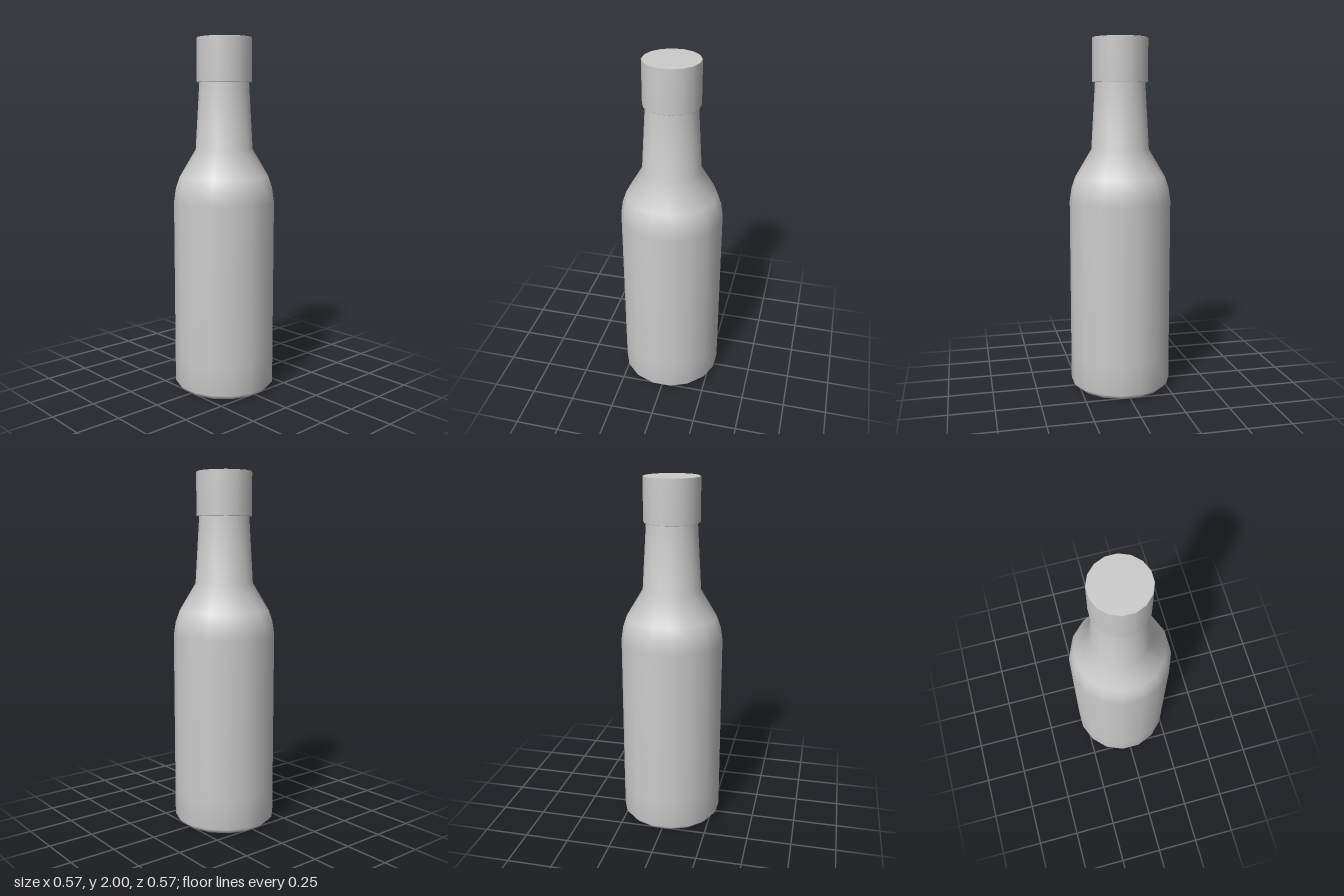
import * as THREE from 'three';

const SIDES = 16;
// Profiles give the distance to the flats; convert to the corner radius.
const TO_CORNER = 1 / Math.cos(Math.PI / SIDES);

// Revolve a bottom-to-top [radius, height] profile with flats facing the axes.
function turned(name, profile, material) {
  const points = profile.map(([r, y]) => new THREE.Vector2(r * TO_CORNER, y));
  const mesh = new THREE.Mesh(
    new THREE.LatheGeometry(points, SIDES, Math.PI / SIDES), material);
  mesh.name = name;
  return mesh;
}

export function createModel() {
  const group = new THREE.Group();
  group.name = 'bottle';
  const material = new THREE.MeshStandardMaterial({ color: 0xcccccc });

  // Base, straight wall, rounded shoulder and tapering neck
  group.add(turned('bottleBody', [
    [0, 0], [0.255, 0], [0.262, 0.006], [0.283, 0.03],
    [0.283, 0.2], [0.283, 1.09],
    [0.272, 1.165], [0.25, 1.23], [0.16, 1.385],
    [0.138, 1.76], [0.138, 1.8],
  ], material));

  // Wider cap with crisp rims
  group.add(turned('cap', [
    [0.13, 1.757], [0.151, 1.757], [0.153, 1.759],
    [0.153, 1.997], [0.15, 2], [0, 2],
  ], material));

  return group;
}
